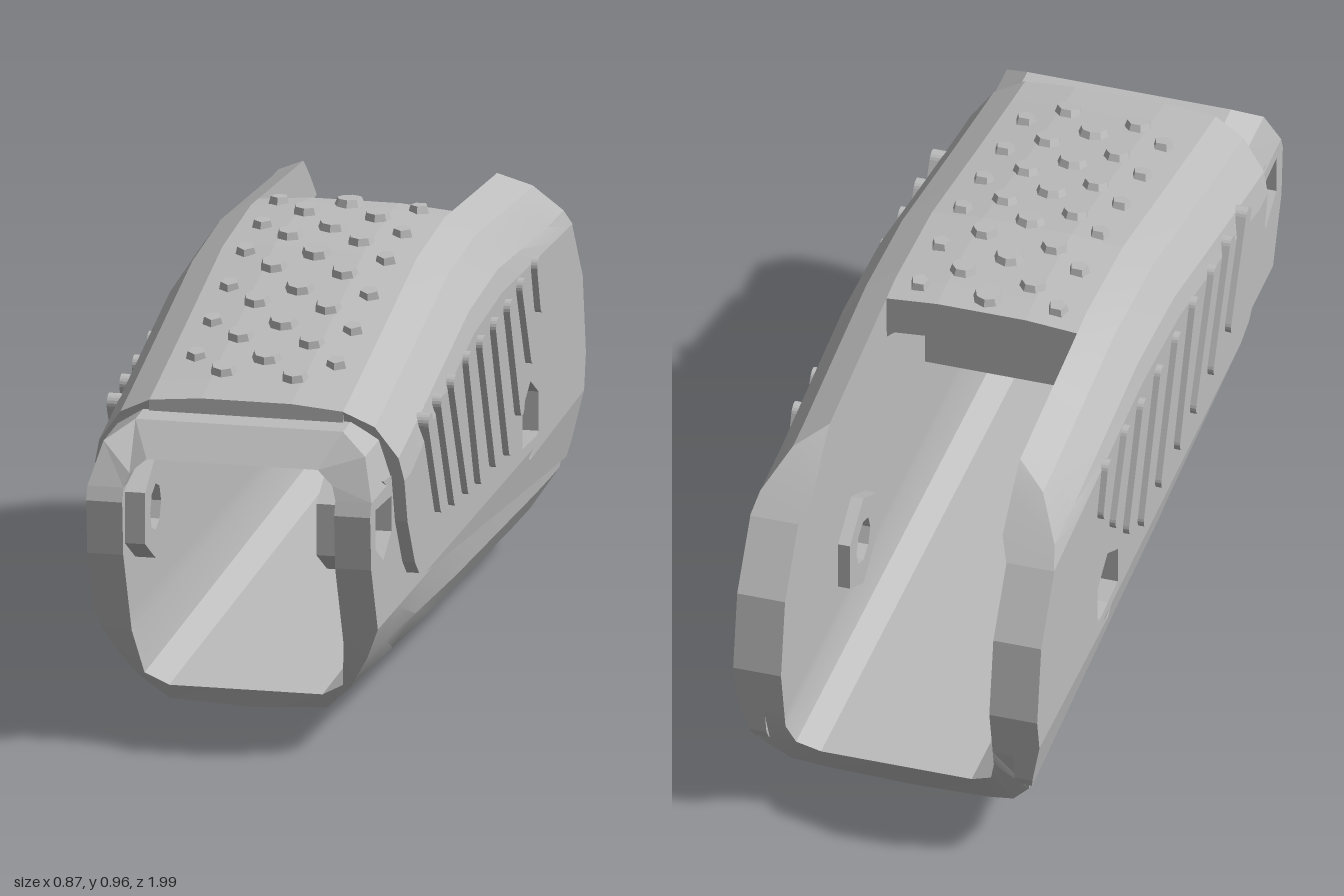
import * as THREE from 'three';
import { toCreasedNormals } from 'three/addons/utils/BufferGeometryUtils.js';

// Piecewise linear function through [input, output] points
const curve = (...pts) => (v) => {
  if (v <= pts[0][0]) return pts[0][1];
  for (let i = 1; i < pts.length; i++) {
    const [a, fa] = pts[i - 1], [b, fb] = pts[i];
    if (v <= b) return fa + (fb - fa) * (v - a) / (b - a);
  }
  return pts[pts.length - 1][1];
};

// Lengthwise lines (input z)
const top = curve([-1, 0.9], [-0.65, 0.905], [-0.17, 0.94], [0.1, 0.92], [0.45, 0.84], [0.7, 0.785], [0.8, 0.765]);
const sideTop = curve([-1, 0.735], [-0.17, 0.77], [0.1, 0.75], [0.45, 0.67], [0.7, 0.6], [1, 0.6]);
const ceiling = curve([-0.24, 0.84], [0, 0.8], [0.5, 0.69], [0.8, 0.66]);
const keel = curve([-0.73, 0], [0.1, 0.04], [0.78, 0.075]);
const bilge = curve([-0.73, 0.04], [0.78, 0.085]);
const floor = curve([-0.9, 0.17], [0.8, 0.12]);
const narrow = curve([0.2, 1], [0.85, 0.94]);
// End outlines (input y)
const rearEnd = curve([0, -0.72], [0.1, -0.83], [0.23, -0.92], [0.42, -0.96], [0.6, -0.93], [0.75, -0.83], [0.87, -0.7], [0.92, -0.62]);
const frontEnd = curve([0.08, 0.77], [0.2, 0.85], [0.45, 0.955], [0.57, 0.965], [0.68, 0.92], [0.73, 0.86]);
const jacketEnd = curve([0.6, 0.76], [0.72, 0.78], [0.77, 0.8]);

const STATIONS = [-1, -0.8, -0.65, -0.4, -0.17, 0.1, 0.45, 0.7, 0.78, 1];

// Solid swept along z; section(z) gives matching outer and inner strips
function sweep(section, rear, front, side = 1) {
  const sectionAt = (z) => section(z).map((s) => s.map(([x, y]) => [x * side, y]));
  const flatten = ([a, b]) => [...a, ...[...b].reverse()];
  const ref = flatten(sectionAt(0));
  let area = 0;
  ref.forEach(([x, y], i) => {
    const [x2, y2] = ref[(i + 1) % ref.length];
    area += x * y2 - x2 * y;
  });
  const loopAt = (z) => {
    const [a, b] = sectionAt(z);
    return flatten(area < 0 ? [b, a] : [a, b]);
  };
  const back = loopAt(-0.8), fore = loopAt(0.78), n = back.length, pos = [], idx = [];
  for (const station of STATIONS) {
    for (let k = 0; k < n; k++) {
      const z = Math.min(Math.max(station, rear(back[k][1])), front(fore[k][1]));
      const [x, y] = loopAt(z)[k];
      pos.push(x, y, z);
    }
  }
  const quad = (a, b, c, d) => idx.push(a, b, c, a, c, d);
  for (let j = 0; j < STATIONS.length - 1; j++) {
    for (let k = 0; k < n; k++) {
      const m = (k + 1) % n;
      quad(j * n + k, j * n + m, (j + 1) * n + m, (j + 1) * n + k);
    }
  }
  const last = (STATIONS.length - 1) * n;
  for (let k = 0; k < n / 2 - 1; k++) {
    quad(last + k, last + k + 1, last + n - 2 - k, last + n - 1 - k);
    quad(n - 1 - k, n - 2 - k, k + 1, k);
  }
  const g = new THREE.BufferGeometry();
  g.setAttribute('position', new THREE.Float32BufferAttribute(pos, 3));
  g.setIndex(idx);
  const flat = g.toNonIndexed();
  flat.computeVertexNormals();
  return flat;
}

// Side plate drawn in (z, y), filling x from inside to outside on one side
function plate(shape, inside, outside, side) {
  const g = new THREE.ExtrudeGeometry(shape, { depth: outside - inside, bevelEnabled: false, curveSegments: 5 });
  g.rotateY(-Math.PI / 2);
  g.translate(side > 0 ? outside : -inside, 0, 0);
  return g;
}

// Lean the outer face of a plate inward below a height
function leanIn(g, height, slope, face) {
  const p = g.attributes.position;
  for (let i = 0; i < p.count; i++) {
    const x = p.getX(i);
    if (Math.abs(x) > face - 0.001) p.setX(i, x - Math.sign(x) * slope * Math.max(0, height - p.getY(i)));
  }
  g.computeVertexNormals();
  return g;
}

// Regular polygon with a corner pointing up
const polygon = (z, y, r, sides, Type = THREE.Path) => new Type(
  Array.from({ length: sides }, (_, i) => {
    const a = (i / sides + 0.25) * Math.PI * 2;
    return new THREE.Vector2(z + r * Math.cos(a), y + r * Math.sin(a));
  }));

const outline = (pts, holes = []) => {
  const s = new THREE.Shape(pts.map(([z, y]) => new THREE.Vector2(z, y)));
  s.holes.push(...holes);
  return s;
};

// Mirror the right-hand half of a strip across x = 0
const both = (half) => [...half, ...half.filter(([x]) => x > 0).reverse().map(([x, y]) => [-x, y])];

export function createModel() {
  const model = new THREE.Group();
  const grip = new THREE.Group();
  grip.name = 'handguard';
  grip.rotation.y = 0.109;
  grip.position.x = 0.008;
  model.add(grip);
  const grey = new THREE.MeshStandardMaterial({ color: 0xbcbcbc });
  grey.name = 'grey';
  const add = (name, geometry) => {
    const m = new THREE.Mesh(geometry, grey);
    m.name = name;
    grip.add(m);
    return m;
  };

  // Trough-shaped lower hull
  add('lowerHull', toCreasedNormals(sweep((z) => {
    const e = bilge(z), f = floor(z), w = narrow(z);
    return [
      both([[0.315, 0.3], [0.302 * w, e + 0.14], [0.25 * w, e + 0.06], [0.175, e], [0, keel(z)]]),
      both([[0.235, 0.3], [0.235, 0.26], [0.22, f + 0.03], [0.17, f], [0, f]]),
    ];
  }, rearEnd, frontEnd), 0.3));

  // Upper arch of the inner body
  add('bodyArch', sweep((z) => {
    const c = ceiling(z), p = sideTop(z);
    return [
      both([[0.315, p], [0.29, c + 0.03], [0.23, c + 0.07], [0, c + 0.07]]),
      both([[0.235, p], [0.225, c - 0.03], [0.19, c], [0, c]]),
    ];
  }, () => -0.235, frontEnd));

  // Jacket roof, stopping short of the open rear
  add('jacketRoof', sweep((z) => {
    const t = top(z);
    const arch = (d) => [[0.215, t - 0.01 - d], [0.1, t - d], [-0.1, t - d], [-0.215, t - 0.01 - d]];
    return [arch(0), arch(0.09)];
  }, () => -0.24, () => 0.795));

  // Block under the roof
  const block = add('ceilingBlock', new THREE.BoxGeometry(0.4, 0.26, 0.12));
  block.position.set(0, 0.71, 0.06);

  // Bolt z, y and the depth of its boss
  const bolts = [[0.84, 0.53, 0.19], [-0.435, 0.41, 0.208]];
  const edge = [0.7, 0.45, 0.1, -0.17, -0.5, -0.83].map((z) => [z, sideTop(z)]);
  const rearEdge = [0.6, 0.42, 0.34].map((y) => [rearEnd(y), y]);
  const bodyLine = [...[0.3, 0.45, 0.57, 0.6].map((y) => [frontEnd(y), y]), ...edge, ...rearEdge, [rearEnd(0.3), 0.3]];
  const jacketLine = [[0.56, 0.34], [0.62, 0.355], [0.66, 0.39], [0.73, 0.5], [0.76, 0.6], ...edge, ...rearEdge];
  const skirtLine = [[0.56, 0.34], rearEdge[2], [-0.92, 0.23], [-0.9, 0.2]];
  // Rib ends: top z, top y, bottom z, bottom y
  const ribs = [[0.57, 0.68, 0.46, 0.47], [0.45, 0.69, 0.33, 0.45], [0.33, 0.7, 0.2, 0.44],
    [0.19, 0.715, 0.08, 0.43], [0.06, 0.715, -0.06, 0.43], [-0.07, 0.72, -0.19, 0.42],
    [-0.2, 0.725, -0.3, 0.48], [-0.32, 0.74, -0.4, 0.57], [-0.46, 0.75, -0.49, 0.66]];

  for (const side of [1, -1]) {
    const tag = side > 0 ? 'left' : 'right';
    // Body wall in two layers: nut pockets outside, bolt holes inside
    add(tag + 'BodyWallOuter', plate(outline(bodyLine, bolts.map(([z, y]) => polygon(z, y, 0.088, 6))), 0.275, 0.315, side));
    add(tag + 'BodyWallInner', plate(outline(bodyLine, bolts.map(([z, y]) => polygon(z, y, 0.052, 8))), 0.235, 0.275, side));
    // Jacket side with the rear pocket, and the skirt leaning in below it
    add(tag + 'JacketSide', plate(outline(jacketLine, [polygon(bolts[1][0], bolts[1][1], 0.088, 6)]), 0.29, 0.343, side));
    add(tag + 'JacketSkirt', leanIn(plate(outline(skirtLine), 0.28, 0.343, side), 0.34, 0.21, 0.343));
    // Rounded shoulder of the jacket
    add(tag + 'JacketShoulder', toCreasedNormals(sweep((z) => {
      const t = top(z), p = sideTop(z);
      return [
        [[0.343, p], [0.332, t - 0.12], [0.282, t - 0.047], [0.215, t - 0.01]],
        [[0.235, p], [0.215, t - 0.12], [0.215, t - 0.06], [0.215, t - 0.02]],
      ];
    }, rearEnd, jacketEnd, side), 0.3));
    // Hexagonal bosses on the inside
    for (const [z, y, depth] of bolts) {
      const boss = polygon(z, y, 0.115, 6, THREE.Shape);
      boss.holes.push(polygon(z, y, 0.052, 8));
      add(tag + 'Boss', plate(boss, depth, 0.236, side));
    }
    // Slanted grip ribs
    for (const [z0, y0, z1, y1] of ribs) {
      const a = Math.atan2(y1 - y0, z1 - z0), h = Math.PI / 2, s = new THREE.Shape();
      s.absarc(z1, y1, 0.021, a - h, a + h);
      s.absarc(z0, y0, 0.021, a + h, a + 3 * h);
      add(tag + 'Rib', plate(s, 0.32, 0.357, side));
    }
  }

  // Rows of studs on the roof: x, first z, radius, sides
  const columns = [[0, -0.19, 0.036, 8], [0.08, -0.11, 0.032, 7], [-0.08, -0.12, 0.032, 7],
    [0.155, -0.185, 0.025, 5], [-0.155, -0.185, 0.025, 5]];
  for (const [x, first, r, sides] of columns) {
    const g = new THREE.CylinderGeometry(r * 0.78, r, 0.022, sides).toNonIndexed();
    g.computeVertexNormals();
    for (let i = 0; i < 6; i++) {
      const z = first + i * 0.157;
      const stud = add('stud', g);
      stud.position.set(x, top(z) - Math.max(0, Math.abs(x) - 0.1) * 0.09 + 0.005, z);
      stud.rotation.x = -Math.atan((top(z + 0.03) - top(z - 0.03)) / 0.06);
    }
  }
  return model;
}
